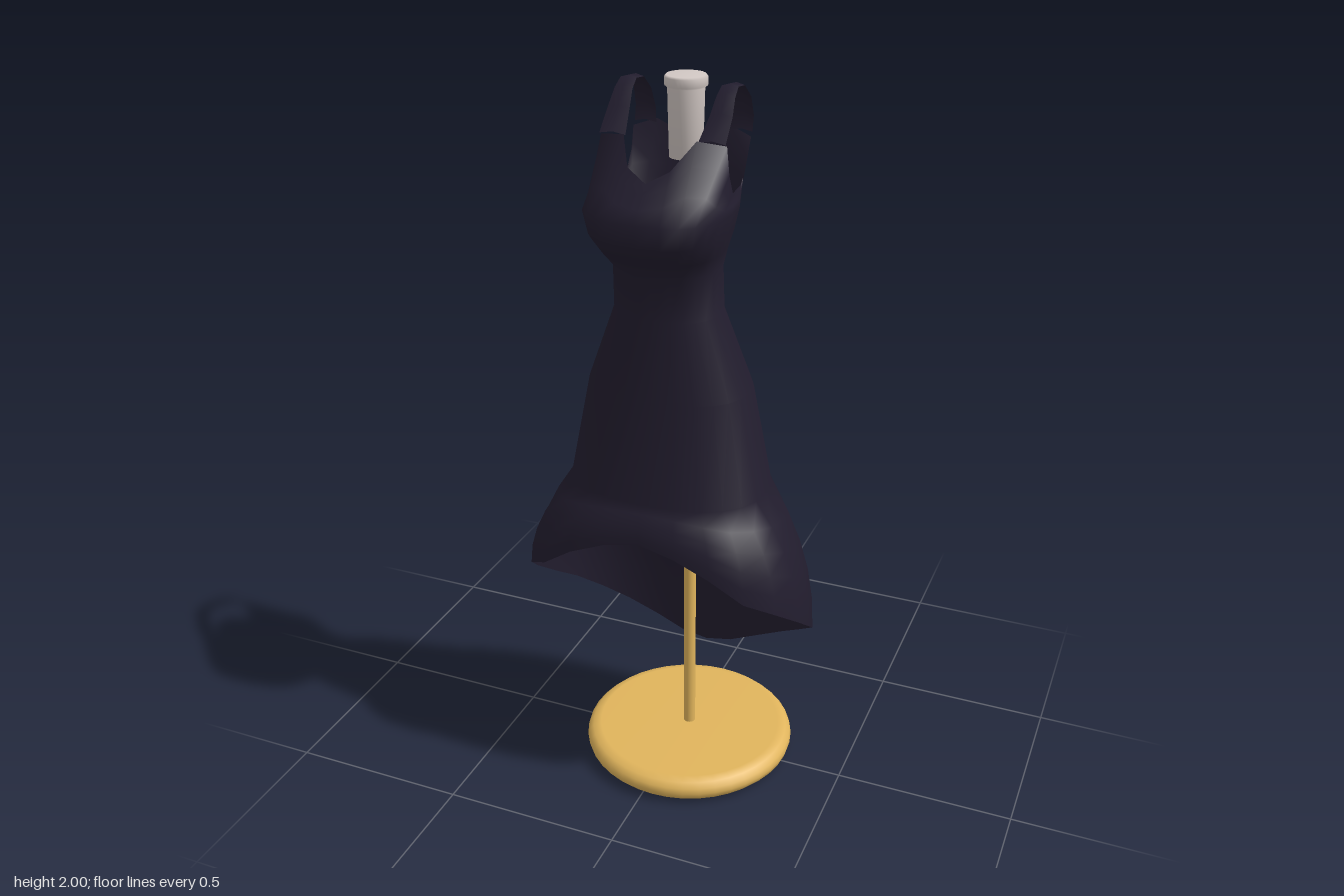
import * as THREE from 'three';

const fabric = new THREE.MeshStandardMaterial({ color: 0x221d2e, side: THREE.DoubleSide });
const brass = new THREE.MeshStandardMaterial({ color: 0xe0b45c });
const pale = new THREE.MeshStandardMaterial({ color: 0xd2c8c4 });

const HALF = 12; // columns from front centre to back centre

// Cross-sections of the body: y, half width, front z, back z, squareness exponent
const sections = [
  [0.92, 0.275, 0.25, -0.145, 0.85],
  [1.2, 0.22, 0.21, -0.105, 0.85],
  [1.41, 0.142, 0.18, -0.052, 0.85],
  [1.53, 0.14, 0.187, -0.045, 0.85],
  [1.58, 0.155, 0.24, -0.052, 0.8],
  [1.63, 0.172, 0.28, -0.06, 0.75],
  [1.69, 0.185, 0.29, -0.07, 0.75],
];

// Hem and neckline, front centre to back centre (x, y, z)
const hem = [
  [0, 0.82, 0.285], [0.1, 0.8, 0.29], [0.2, 0.755, 0.285], [0.29, 0.69, 0.265],
  [0.36, 0.645, 0.21], [0.395, 0.57, 0.11], [0.392, 0.49, 0], [0.375, 0.42, -0.1],
  [0.32, 0.36, -0.165], [0.25, 0.31, -0.205], [0.16, 0.26, -0.225], [0.08, 0.225, -0.225],
  [0, 0.21, -0.225],
];
const neckline = [
  [0, 1.77, 0.21], [0.055, 1.8, 0.19], [0.095, 1.86, 0.12], [0.165, 1.85, 0.1],
  [0.172, 1.78, 0.1], [0.178, 1.735, 0.09], [0.17, 1.73, 0.05], [0.165, 1.73, 0],
  [0.155, 1.74, -0.05], [0.16, 1.83, -0.085], [0.1, 1.85, -0.1], [0.055, 1.83, -0.1],
  [0, 1.82, -0.1],
];

function sectionRow([y, w, front, back, p]) {
  return Array.from({ length: HALF + 1 }, (_, j) => {
    const a = (j / HALF) * Math.PI;
    const c = Math.cos(a);
    const x = j === HALF ? 0 : w * Math.pow(Math.sin(a), p);
    const z = (front + back) / 2 + ((front - back) / 2) * Math.sign(c) * Math.pow(Math.abs(c), p);
    return [x, y, z];
  });
}

// Blend two rows; height moves by t, the outward spread by s
const blend = (a, b, t, s = t) => a.map((p, j) => [
  p[0] + (b[j][0] - p[0]) * s,
  p[1] + (b[j][1] - p[1]) * t,
  p[2] + (b[j][2] - p[2]) * s,
]);

// Smooth surface through rows of points
function loft(rows, closed) {
  const n = rows[0].length;
  const index = [];
  for (let i = 0; i < rows.length - 1; i++) {
    for (let j = 0; j < (closed ? n : n - 1); j++) {
      const k = (j + 1) % n;
      const a = i * n + j, b = i * n + k, c = a + n, d = b + n;
      index.push(a, b, d, a, d, c);
    }
  }
  const geo = new THREE.BufferGeometry();
  geo.setAttribute('position', new THREE.Float32BufferAttribute(rows.flat(2), 3));
  geo.setIndex(index);
  geo.computeVertexNormals();
  return geo;
}

function add(parent, name, geo, material, x = 0, y = 0, z = 0) {
  const mesh = new THREE.Mesh(geo, material);
  mesh.name = name;
  mesh.position.set(x, y, z);
  parent.add(mesh);
  return mesh;
}

export function createModel() {
  const model = new THREE.Group();
  model.name = 'dressOnStand';

  // Dress body: flared skirt, fitted waist, bust and neckline
  const rings = sections.map(sectionRow);
  const rows = [];
  for (const t of [1, 0.8, 0.6, 0.4, 0.2]) rows.push(blend(rings[0], hem, t, t * (2 - t)));
  rows.push(...rings);
  for (const t of [0.35, 0.7, 1]) rows.push(blend(rings[rings.length - 1], neckline, t));
  const full = rows.map((row) => [
    ...row,
    ...row.slice(1, HALF).reverse().map(([x, y, z]) => [-x, y, z]),
  ]);
  const dress = new THREE.Group();
  dress.name = 'dress';
  dress.position.x = -0.005;
  model.add(dress);
  add(dress, 'dressBody', loft(full, true), fabric);

  // Shoulder straps: inner x, outer x, y, z along the arch
  const arch = [
    [0.095, 0.165, 1.855, 0.11], [0.105, 0.163, 1.91, 0.06], [0.11, 0.158, 1.95, 0.03],
    [0.112, 0.155, 1.97, 0], [0.112, 0.155, 1.965, -0.045], [0.11, 0.158, 1.93, -0.085],
    [0.105, 0.16, 1.88, -0.102], [0.1, 0.16, 1.84, -0.094],
  ];
  for (const side of [1, -1]) {
    const strap = arch.map(([inner, outer, y, z]) => {
      const ends = [inner, (inner + outer) / 2, outer].map((x, k) =>
        [side * x, y + (k === 1 ? 0.006 : 0), z]);
      return side > 0 ? ends : ends.reverse();
    });
    add(dress, side > 0 ? 'leftStrap' : 'rightStrap', loft(strap, false), fabric);
  }

  // Stand: rounded disc, pole and neck cap
  const discProfile = [
    [0, 0], [0.265, 0], [0.288, 0.006], [0.301, 0.02], [0.305, 0.035],
    [0.301, 0.05], [0.288, 0.063], [0.265, 0.07], [0, 0.07],
  ].map(([r, y]) => new THREE.Vector2(r, y));
  add(model, 'standBase', new THREE.LatheGeometry(discProfile, 40), brass, 0.03, 0, 0);
  add(model, 'standPole', new THREE.CylinderGeometry(0.017, 0.017, 1.15, 20), brass, 0.03, 0.635, 0);
  const neckProfile = [
    [0, 1.8], [0.042, 1.8], [0.046, 1.97], [0.053, 1.975], [0.053, 1.995], [0.049, 2], [0, 2],
  ].map(([r, y]) => new THREE.Vector2(r, y));
  add(model, 'neckPost', new THREE.LatheGeometry(neckProfile, 32), pale, 0.032, 0, 0.043);

  return model;
}
